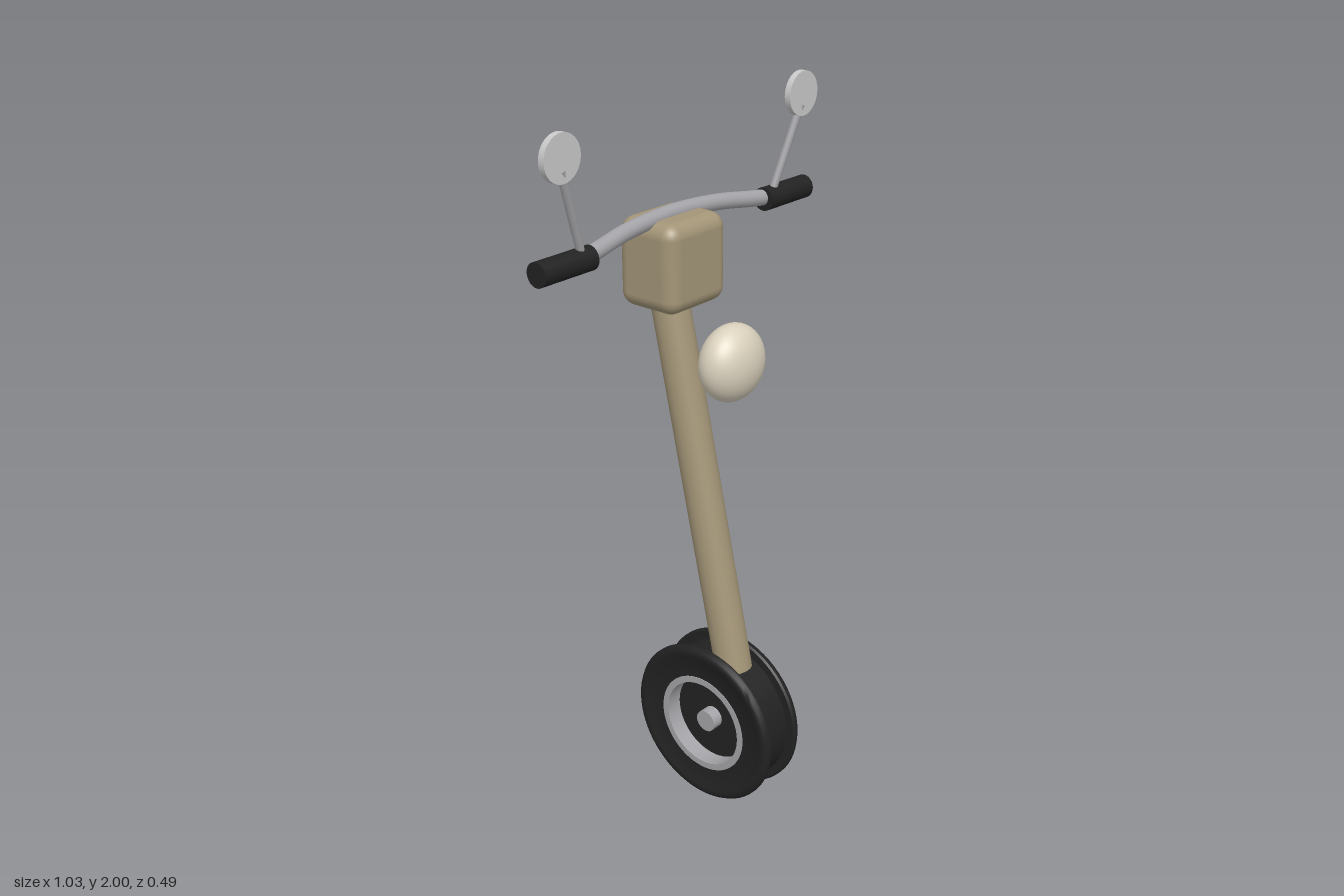
import * as THREE from 'three';
import { RoundedBoxGeometry } from 'three/addons/geometries/RoundedBoxGeometry.js';
import { toCreasedNormals } from 'three/addons/utils/BufferGeometryUtils.js';

const mat = (name, color) => {
  const m = new THREE.MeshStandardMaterial({ color });
  m.name = name;
  return m;
};

export function createModel() {
  const model = new THREE.Group();
  model.name = 'scooterFront';
  const tan = mat('tanPaint', 0xa39577);
  const cream = mat('creamLamp', 0xd9d0bc);
  const black = mat('blackRubber', 0x222222);
  const metal = mat('greyMetal', 0xa4a4a8);
  const glass = mat('mirrorGrey', 0xc8c8c8);

  const add = (parent, name, geo, material, x = 0, y = 0, z = 0) => {
    const m = new THREE.Mesh(geo, material);
    m.name = name;
    m.position.set(x, y, z);
    parent.add(m);
    return m;
  };
  // Cylinder running between two points
  const rod = (parent, name, a, b, r, material, seg = 24) => {
    const d = b.clone().sub(a);
    const m = add(parent, name, new THREE.CylinderGeometry(r, r, d.length(), seg), material);
    m.position.copy(a).add(b).multiplyScalar(0.5);
    m.quaternion.setFromUnitVectors(new THREE.Vector3(0, 1, 0), d.normalize());
    return m;
  };
  const V = (x, y, z) => new THREE.Vector3(x, y, z);
  // Closed ring turned around the x axis, from [radius, x] pairs
  const ring = (pairs) => {
    const pts = [...pairs, pairs[0]].map(([r, x]) => new THREE.Vector2(r, x));
    return toCreasedNormals(new THREE.LatheGeometry(pts, 64).rotateZ(-Math.PI / 2), 0.6);
  };

  // Wheel: tyre with two raised shoulders and a wide channel between them
  const wheel = new THREE.Group();
  wheel.name = 'wheel';
  wheel.position.set(0, 0.242, 0.005);
  model.add(wheel);
  const half = [[0.213, 0.049], [0.236, 0.05], [0.241, 0.055], [0.241, 0.063],
    [0.236, 0.071], [0.227, 0.075], [0.214, 0.075], [0.208, 0.071], [0.146, 0.068]];
  const mirrored = half.map(([r, x]) => [r, -x]).reverse();
  add(wheel, 'tyre', ring([...mirrored, ...half]), black);
  add(wheel, 'rim', ring([[0.129, -0.07], [0.148, -0.07], [0.148, 0.07], [0.129, 0.07]]), metal);
  rod(wheel, 'wheelDisc', V(-0.02, 0, 0), V(0.02, 0, 0), 0.132, black, 48);
  rod(wheel, 'hub', V(-0.055, 0, 0), V(0.06, 0, 0), 0.032, metal);
  // Five spokes on the left face only
  for (let i = 0; i < 5; i++) {
    const a = (i / 5) * Math.PI * 2;
    const dir = V(0, Math.sin(a), -Math.cos(a));
    rod(wheel, 'spoke', dir.clone().multiplyScalar(0.02).setX(0.04),
      dir.clone().multiplyScalar(0.135).setX(0.04), 0.0095, metal, 12);
  }

  // Raked steering column and head housing
  rod(model, 'steeringColumn', V(0, 0.42, 0.064), V(0, 1.63, -0.196), 0.052, tan, 32);
  add(model, 'headHousing', new RoundedBoxGeometry(0.224, 0.24, 0.194, 5, 0.04), tan, 0, 1.58, -0.148);

  // Egg-shaped headlamp
  add(model, 'headlamp', new THREE.SphereGeometry(1, 40, 24), cream, 0, 1.34, 0.052)
    .scale.set(0.105, 0.105, 0.073);

  // Bowed handlebar
  const bar = new THREE.CatmullRomCurve3([
    V(-0.5, 1.668, -0.117), V(-0.34, 1.673, -0.122), V(-0.17, 1.693, -0.142), V(0, 1.701, -0.149),
    V(0.17, 1.693, -0.142), V(0.34, 1.673, -0.122), V(0.5, 1.668, -0.117)]);
  add(model, 'handlebar', new THREE.TubeGeometry(bar, 48, 0.022, 16), metal);

  // Grips and mirrors on both sides
  for (const s of [-1, 1]) {
    rod(model, 'grip', V(s * 0.335, 1.669, -0.117), V(s * 0.515, 1.669, -0.117), 0.032, black);
    rod(model, 'mirrorStem', V(s * 0.368, 1.685, -0.113), V(s * 0.452, 1.91, -0.086), 0.011, metal, 12);
    rod(model, 'mirror', V(s * 0.453, 1.94, -0.095), V(s * 0.453, 1.94, -0.077), 0.06, glass, 32);
  }
  return model;
}
